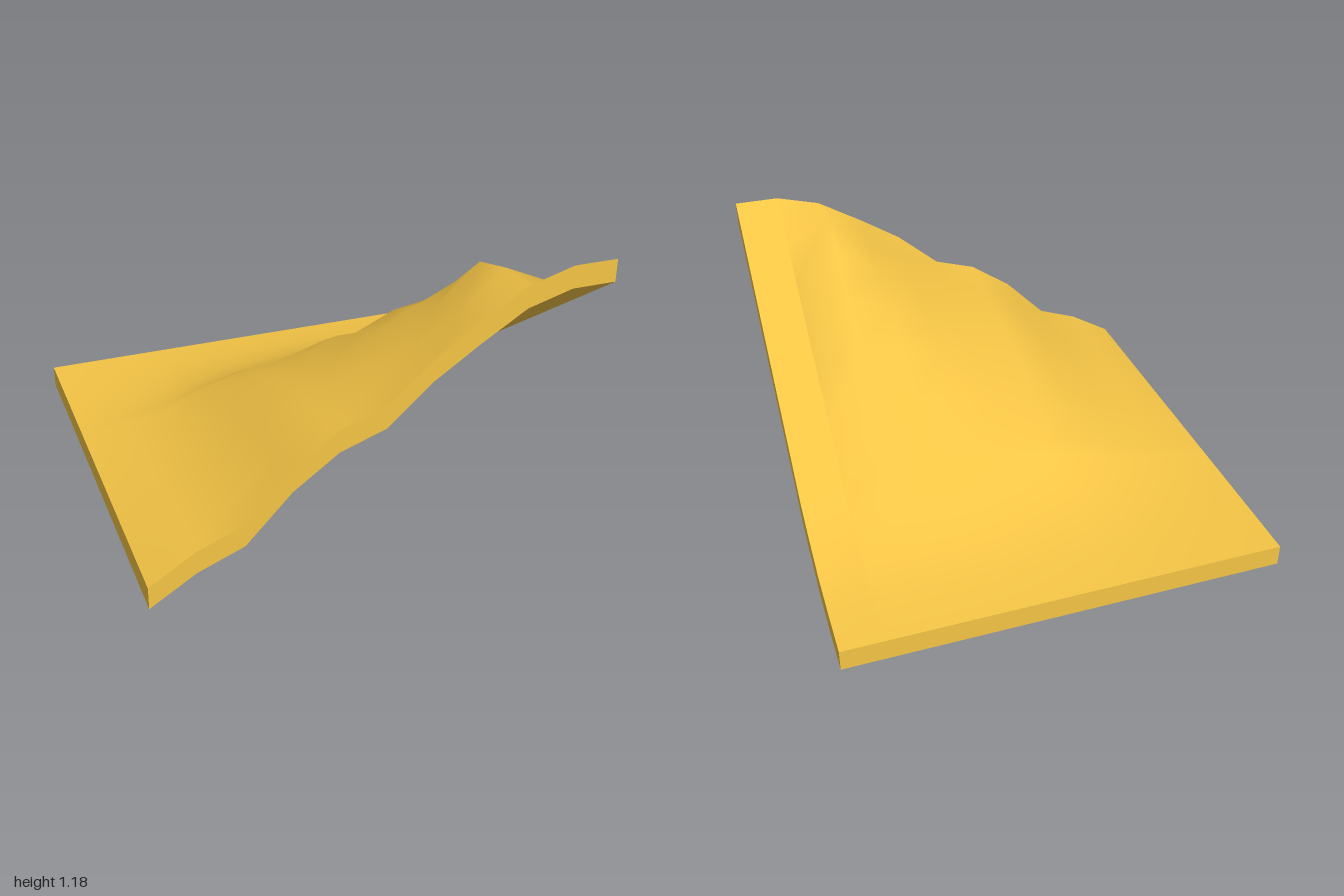
import * as THREE from 'three';

const THICK = 0.1;
const xs = [-1, -0.8, -0.6, -0.4, -0.2, 0, 0.2, 0.4, 0.6, 0.8, 1];
const zs = [-1, -0.8, -0.6, -0.4, -0.27, -0.2, 0, 0.2, 0.4, 0.6, 0.8, 1];

// Height profiles: along the front edge, the crest beside the ramp, and the straight ramp
const front = [[-1, 0.1], [-0.8, 0.22], [-0.6, 0.295], [-0.4, 0.5], [-0.2, 0.64], [0, 0.705],
  [0.2, 0.88], [0.4, 1.01], [0.6, 1.13], [0.8, 1.185], [1, 1.185]];
const crest = [[-1, 0.1], [-0.8, 0.12], [-0.6, 0.165], [-0.4, 0.26], [-0.2, 0.41], [0, 0.53],
  [0.2, 0.75], [0.4, 0.91], [0.6, 1.08], [0.8, 1.13], [1, 1.13]];
const ramp = [[-1, 0.1], [-0.8, 0.12], [-0.6, 0.155], [-0.45, 0.205], [-0.27, 0.29], [1, 1.185]];
// Share of the front edge's height that remains further back on the hillside
const fade = [[-1, 0], [-0.8, 0.03], [-0.6, 0.09], [-0.4, 0.21], [-0.2, 0.41], [0, 0.56],
  [0.2, 0.68], [0.4, 0.79], [0.6, 0.88], [0.8, 0.94], [1, 1]];

function sample(points, t) {
  let i = 1;
  while (i < points.length - 1 && t > points[i][0]) i++;
  const [a, b] = [points[i - 1], points[i]];
  return THREE.MathUtils.mapLinear(t, a[0], b[0], a[1], b[1]);
}

// Top surface height: the hillside never rises above the crest
function height(x, z) {
  if (x > 0.7) return sample(ramp, z);
  const top = sample(crest, z);
  if (x > 0.5) return top;
  return Math.min(top, THICK + (sample(front, x) - THICK) * sample(fade, z));
}

const material = new THREE.MeshStandardMaterial({ color: 0xf4c445 });

// Grid surface over us and vs; faces along dv x du unless flipped
function patch(name, us, vs, point, flip) {
  const pos = [], index = [], n = vs.length;
  for (const u of us) for (const v of vs) pos.push(...point(u, v));
  for (let i = 0; i < us.length - 1; i++) {
    for (let j = 0; j < n - 1; j++) {
      const a = i * n + j, b = a + 1, c = a + n, d = c + 1;
      if (flip) index.push(a, c, b, b, c, d);
      else index.push(a, b, c, b, d, c);
    }
  }
  const g = new THREE.BufferGeometry();
  g.setAttribute('position', new THREE.Float32BufferAttribute(pos, 3));
  g.setIndex(index);
  g.computeVertexNormals();
  const mesh = new THREE.Mesh(g, material);
  mesh.name = name;
  return mesh;
}

export function createModel() {
  const group = new THREE.Group();
  group.name = 'terrainTile';

  // Hillside and side ramp, split so the crease between them stays sharp
  for (const [name, cols] of [['hillside', xs.slice(0, -1)], ['sideRamp', xs.slice(-2)]]) {
    group.add(patch(name + 'Top', cols, zs, (x, z) => [x, height(x, z), z], false));
    group.add(patch(name + 'Underside', cols, zs, (x, z) => [x, height(x, z) - THICK, z], true));
  }

  // Edge bands
  const band = [-THICK, 0];
  for (const s of [-1, 1]) {
    group.add(patch(s > 0 ? 'frontEdge' : 'backEdge', xs, band,
      (x, y) => [x, height(x, s) + y, s], s > 0));
    group.add(patch(s > 0 ? 'leftEdge' : 'rightEdge', zs, band,
      (z, y) => [s, height(s, z) + y, z], s < 0));
  }
  return group;
}
